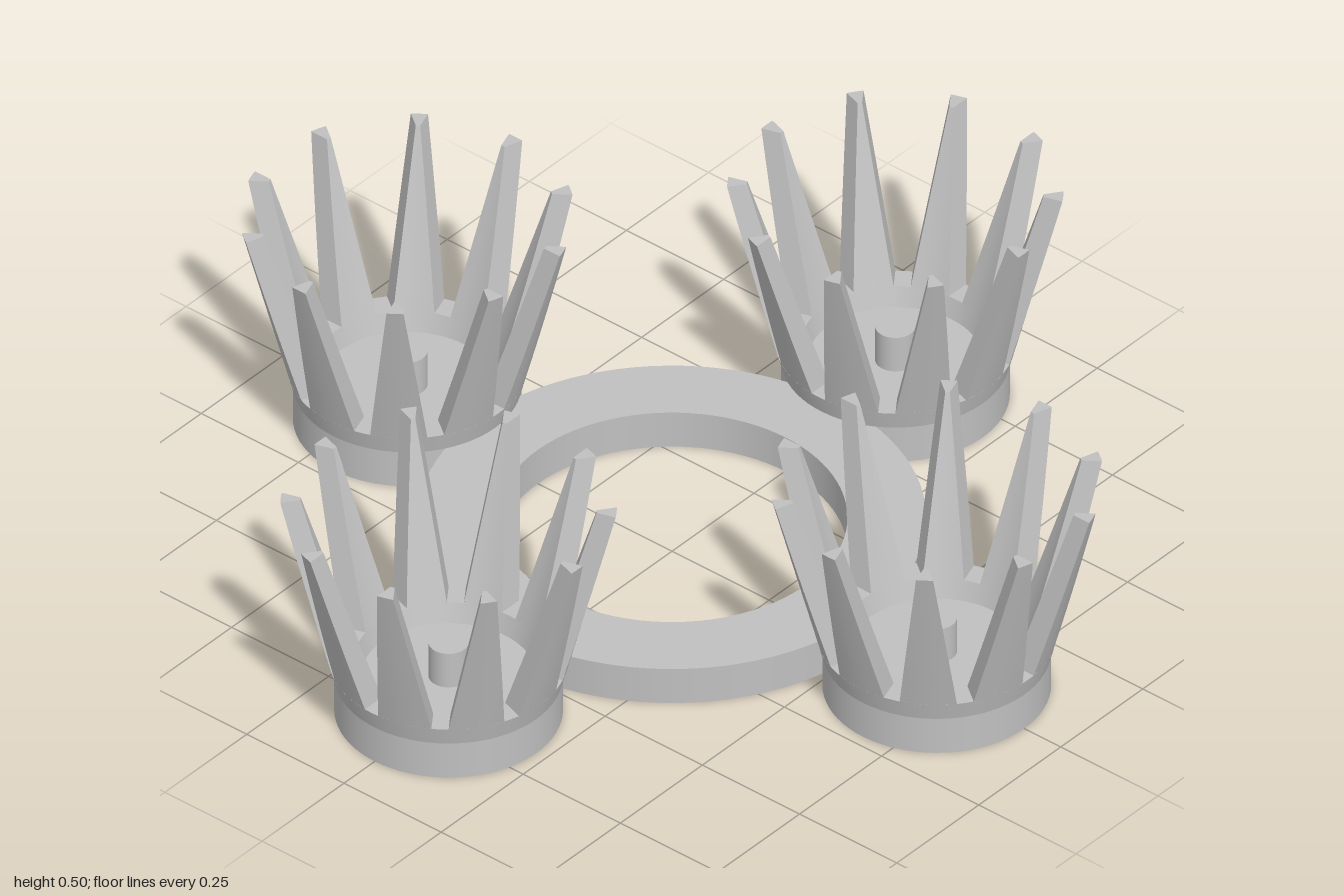
import * as THREE from 'three';
import { mergeGeometries } from 'three/addons/utils/BufferGeometryUtils.js';

const BASE_H = 0.083, VALLEY = 0.125, TOP = 0.5, SPIKES = 10;
const STEP = (Math.PI * 2) / SPIKES;
const lerp = THREE.MathUtils.lerp;

// Cone wall radii and notch half width by height
const outerR = (y) => lerp(0.225, 0.331, (y - BASE_H) / (TOP - BASE_H));
const innerR = (y) => lerp(0.172, 0.292, (y - BASE_H) / (TOP - BASE_H));
const notch = (y) => lerp(0.017, 0.086, (y - VALLEY) / (TOP - VALLEY));
// Half angle of a spike at radius r and height y
const halfAngle = (r, y) => STEP / 2 - Math.asin(notch(y) / r);

// Turned solid with a sharp edge at every profile point
function turned(profile, segments = 72) {
  const bands = [];
  for (let i = 0; i < profile.length - 1; i++) {
    const pair = [profile[i], profile[i + 1]].map(([x, y]) => new THREE.Vector2(x, y));
    bands.push(new THREE.LatheGeometry(pair, segments));
  }
  return mergeGeometries(bands);
}

// Grid surface from a function of u and v
function patch(fn, nu, nv) {
  const pos = [], index = [];
  for (let j = 0; j <= nv; j++)
    for (let i = 0; i <= nu; i++) pos.push(...fn(i / nu, j / nv));
  for (let j = 0; j < nv; j++)
    for (let i = 0; i < nu; i++) {
      const a = j * (nu + 1) + i, b = a + 1, c = a + nu + 1, d = c + 1;
      index.push(a, b, d, a, d, c);
    }
  const g = new THREE.BufferGeometry();
  g.setAttribute('position', new THREE.Float32BufferAttribute(pos, 3));
  g.setIndex(index);
  g.computeVertexNormals();
  return g;
}

// One tapered spike of the crown, leaning outward along +z
function spikeGeometry() {
  // s: -1..1 across the spike, t: 0 outside .. 1 inside
  const point = (s, t, y) => {
    const r = lerp(outerR(y), innerR(y), t);
    const a = s * halfAngle(r, y);
    return [r * Math.sin(a), y, r * Math.cos(a)];
  };
  const height = (v) => lerp(VALLEY, TOP, v);
  return mergeGeometries([
    patch((u, v) => point(u * 2 - 1, 0, height(v)), 4, 6),
    patch((u, v) => point(1, u, height(v)), 1, 6),
    patch((u, v) => point(1 - u * 2, 1, height(v)), 4, 6),
    patch((u, v) => point(-1, 1 - u, height(v)), 1, 6),
    patch((u, v) => point(u * 2 - 1, v, TOP), 4, 1),
  ]);
}

export function createModel() {
  const grey = new THREE.MeshStandardMaterial({ color: 0xc0c0c0 });
  grey.name = 'light grey';
  const model = new THREE.Group();
  model.name = 'crownStand';

  const add = (parent, name, geometry) => {
    const mesh = new THREE.Mesh(geometry, grey);
    mesh.name = name;
    parent.add(mesh);
    return mesh;
  };

  // Flat ring joining the four crowns
  add(model, 'centreRing', turned(
    [[0.345, 0], [0.5, 0], [0.5, BASE_H], [0.345, BASE_H], [0.345, 0]], 96));

  const base = turned([[0, 0], [0.225, 0], [0.225, BASE_H], [0, BASE_H]]);
  const rim = turned([[outerR(BASE_H), BASE_H], [outerR(VALLEY), VALLEY],
    [innerR(VALLEY), VALLEY], [innerR(BASE_H), BASE_H]]);
  const post = turned([[0.04, BASE_H], [0.04, 0.165], [0, 0.165]], 32);
  const spike = spikeGeometry();

  // Four spiked crowns around the ring
  for (let k = 0; k < 4; k++) {
    const arm = new THREE.Group();
    arm.name = 'crownArm';
    arm.rotation.y = (k * Math.PI) / 2;
    const crown = new THREE.Group();
    crown.name = 'crown';
    crown.position.z = 0.681;
    add(crown, 'crownBase', base);
    add(crown, 'crownRim', rim);
    add(crown, 'centrePost', post);
    for (let i = 0; i < SPIKES; i++)
      add(crown, 'spike', spike).rotation.y = (i + 0.5) * STEP;
    arm.add(crown);
    model.add(arm);
  }
  return model;
}
